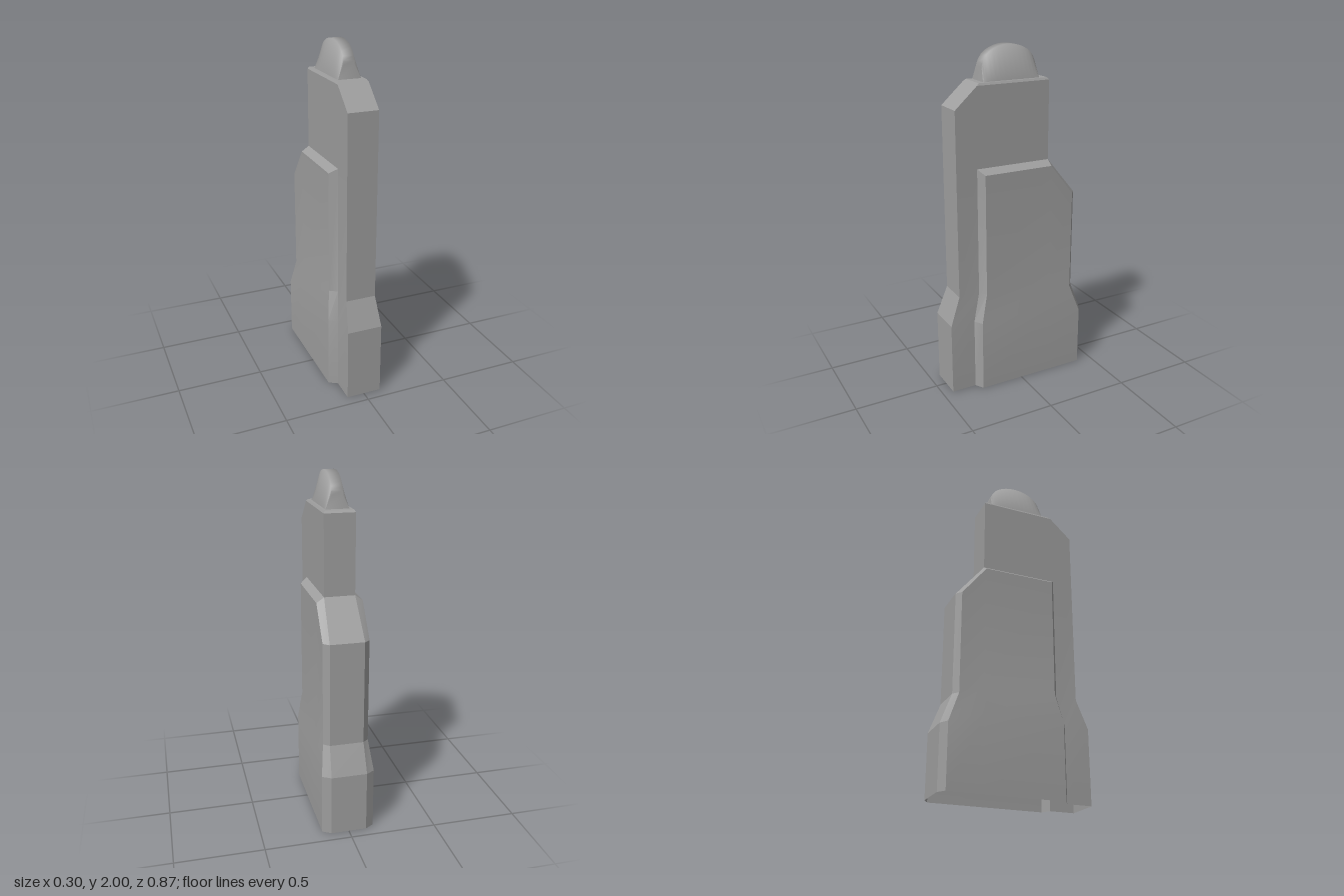
import * as THREE from 'three';
import { toCreasedNormals } from 'three/addons/utils/BufferGeometryUtils.js';

const material = new THREE.MeshStandardMaterial({ color: 0x9e9e9e, side: THREE.DoubleSide });
const mirror = ([x, y, z]) => [-x, y, z];

// Mesh from a list of four-cornered faces, corners counter-clockwise from outside.
function quadMesh(name, quads, crease) {
  const pos = [];
  for (const [a, b, c, d] of quads) pos.push(...a, ...b, ...c, ...a, ...c, ...d);
  const geo = new THREE.BufferGeometry();
  geo.setAttribute('position', new THREE.Float32BufferAttribute(pos, 3));
  const mesh = new THREE.Mesh(toCreasedNormals(geo, crease), material);
  mesh.name = name;
  return mesh;
}

// Faces between successive cross-sections.
function loft(rows, closed) {
  const quads = [];
  const n = rows[0].length;
  for (let i = 0; i < rows.length - 1; i++)
    for (let j = 0; j < (closed ? n : n - 1); j++) {
      const k = (j + 1) % n;
      quads.push([rows[i][j], rows[i][k], rows[i + 1][k], rows[i + 1][j]]);
    }
  return quads;
}

// Rectangular section at height y.
const rect = (w, y, front, back) => [[-w, y, front], [w, y, front], [w, y, back], [-w, y, back]];

export function createModel() {
  const group = new THREE.Group();

  // Body: left half runs front seam, front corner, side, back corner, back; then mirrored.
  const halves = [
    [[0.103, 0, 0.29], [0.152, 0, 0.26], [0.152, 0, -0.2], [0.152, 0, -0.407], [0.103, 0, -0.437]],
    [[0.103, 0.43, 0.29], [0.152, 0.43, 0.26], [0.152, 0.43, -0.2], [0.152, 0.36, -0.407], [0.103, 0.36, -0.437]],
    [[0.088, 0.6, 0.25], [0.131, 0.6, 0.22], [0.131, 0.6, -0.2], [0.131, 0.53, -0.345], [0.098, 0.53, -0.373]],
    [[0.088, 1.345, 0.25], [0.131, 1.315, 0.22], [0.131, 1.315, -0.2], [0.131, 1.13, -0.345], [0.098, 1.13, -0.373]],
  ];
  const body = loft(halves.map(h => [...h, ...h.map(mirror).reverse()]), false);

  // Shoulder chamfers and the sloping back
  const [A, B, C, D, E] = halves[3];
  const T = [0.088, 1.345, -0.2];
  for (const q of [[A, B, C, T], [T, C, D, E]]) body.push(q, q.map(mirror).reverse());
  body.push([mirror(T), T, E, mirror(E)]);
  group.add(quadMesh('body', body, 0.25));

  // Front column, joined to the body along its seam
  const column = [[0, 0.437], [0.43, 0.437], [0.6, 0.375], [1.345, 0.375]].map(([y, z], i) => {
    const seam = halves[i][0];
    const front = [seam[0], y, z];
    return [mirror(seam), mirror(front), front, seam];
  });
  group.add(quadMesh('frontColumn', loft(column, false), 0.1));

  // Tower top with a sloping front and a narrow bevel
  const tower = [
    rect(0.088, 1.345, 0.375, -0.2),
    rect(0.088, 1.68, 0.375, -0.2),
    rect(0.088, 1.8, 0.243, -0.2),
    rect(0.081, 1.812, 0.23, -0.19),
  ];
  group.add(quadMesh('tower', [...loft(tower, true), tower[3]], 0.1));

  // Ridge cap: a narrow arched crown with flared sides, sections running front to back
  const sections = [];
  const steps = 16;
  for (let i = 0; i <= steps; i++) {
    const a = (i / steps) * Math.PI;
    const foot = [0.067, 1.81, 0.024 + 0.173 * Math.cos(a)];
    const crown = [0.031, 1.885 + 0.115 * Math.sin(a), 0.024 + 0.163 * Math.cos(a)];
    sections.push([mirror(foot), mirror(crown), crown, foot]);
  }
  const [fl, cl, cr, fr] = sections[0];
  const [bl, dl, dr, br] = sections[steps];
  const ends = [[fl, fr, cr, cl], [br, bl, dl, dr]];
  group.add(quadMesh('ridgeCap', [...loft(sections, false), ...ends], 1.5));

  return group;
}
